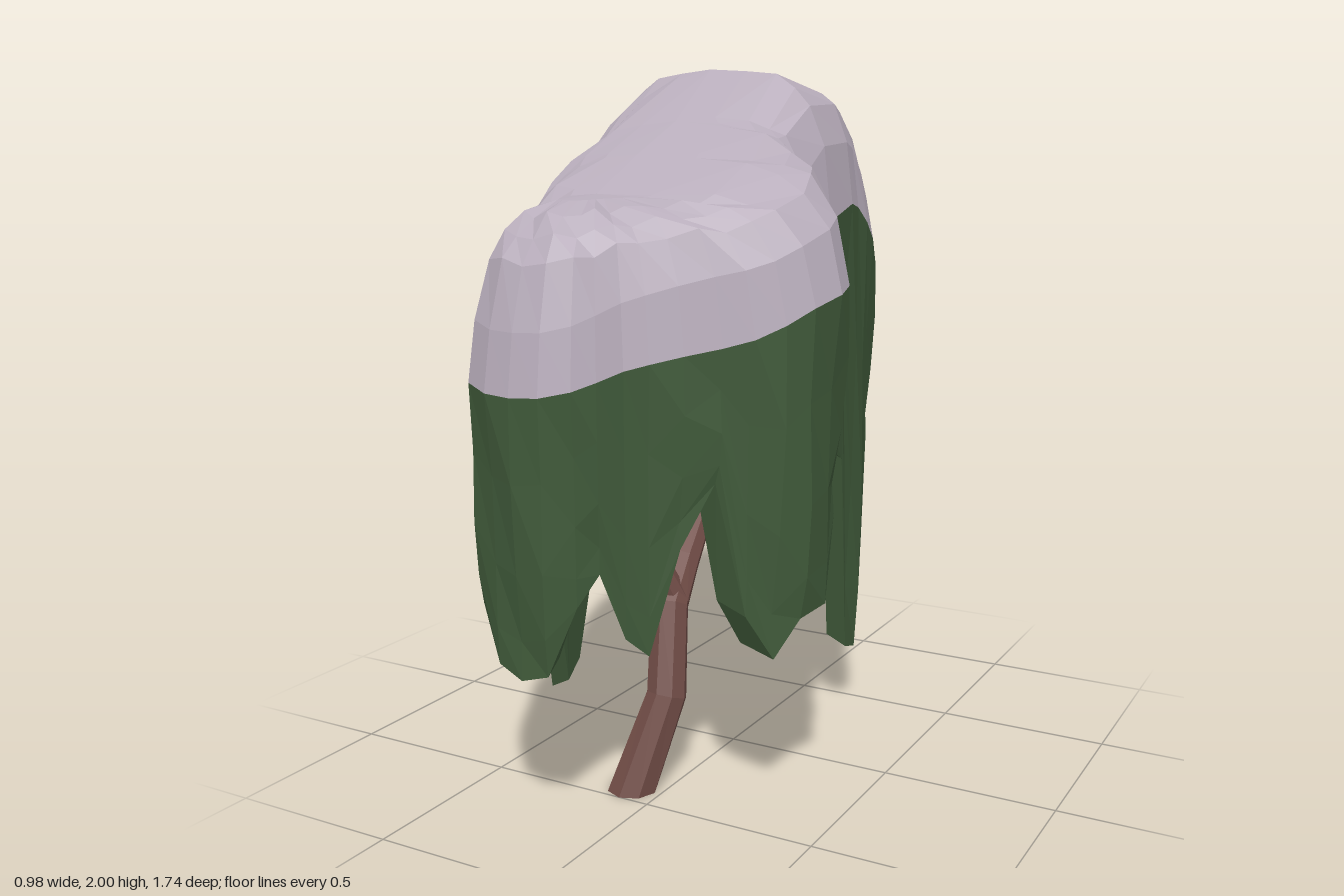
import * as THREE from 'three';

const V = (x, y, z) => new THREE.Vector3(x, y, z);
const { lerp, clamp } = THREE.MathUtils;

// canopy outline, clockwise from above: x, z, height of the hanging tip
const OUTLINE = [
  [0, -.84, .85], [.1, -.75, .85], [.18, -.62, .87], [.22, -.5, .55], [.23, -.43, .2], [.23, -.36, .22],
  [.25, -.27, .85], [.26, -.1, .93], [.25, .02, .93], [.33, .1, .93], [.42, .17, .93], [.47, .24, .82],
  [.49, .33, .6], [.46, .42, .58], [.41, .48, .48], [.35, .53, .6], [.28, .57, .95], [.2, .62, .78],
  [.13, .67, .5], [.08, .71, .55], [.04, .77, .73], [0, .82, .65], [-.07, .86, .47], [-.15, .87, .45],
  [-.23, .86, .48], [-.31, .82, .62], [-.35, .65, .78], [-.38, .53, .75], [-.43, .4, .5], [-.46, .32, .2],
  [-.48, .24, .24], [-.49, .12, .6], [-.49, 0, .72], [-.48, -.15, .7], [-.47, -.27, .35], [-.46, -.34, .18],
  [-.46, -.42, .4], [-.45, -.52, .6], [-.42, -.66, .87], [-.37, -.77, .8], [-.31, -.84, .52],
  [-.24, -.87, .52], [-.13, -.87, .85],
];
// height along z of the snow's lower edge and of its ridge
const EDGE = [[-.87, 1.17], [-.7, 1.35], [-.5, 1.5], [-.37, 1.6], [-.18, 1.63], [0, 1.5], [.11, 1.41],
  [.25, 1.43], [.4, 1.4], [.55, 1.3], [.87, 1.18]];
const RIDGE = [[-.35, 1.97], [-.1, 2], [0, 1.92], [.1, 1.85], [.3, 1.76], [.5, 1.66]];
const NODES = [-.35, -.1, .1, .3, .5];

function sample(table, z) {
  let i = 0;
  while (i < table.length - 2 && z > table[i + 1][0]) i++;
  const [a, b] = [table[i], table[i + 1]];
  return lerp(a[1], b[1], clamp((z - a[0]) / (b[0] - a[0]), 0, 1));
}

// faceted skin over closed rings, listed from top to bottom
function loft(rings) {
  const pos = [];
  const tri = (a, b, c) => {
    const n = b.clone().sub(a).cross(c.clone().sub(a));
    if (n.length() > 1e-8) for (const p of [a, b, c]) pos.push(p.x, p.y, p.z);
  };
  for (let r = 0; r < rings.length - 1; r++) {
    const U = rings[r], L = rings[r + 1], n = U.length;
    for (let i = 0; i < n; i++) {
      const j = (i + 1) % n;
      tri(U[i], U[j], L[i]);
      tri(U[j], L[j], L[i]);
    }
  }
  const g = new THREE.BufferGeometry();
  g.setAttribute('position', new THREE.Float32BufferAttribute(pos, 3));
  g.computeVertexNormals();
  return g;
}

// point moved from the outline towards the spine of the crown
const inset = ([x, z], k, y, spineZ = clamp(z, -.4, .5)) => V(lerp(x, -.13, k), y, lerp(z, spineZ, k));

// tapered limb along points [x, y, z, radius], from base to tip
function limb(points, flatBase) {
  const centres = points.map(p => V(p[0], p[1], p[2]));
  const last = points.length - 1;
  const rings = centres.map((c, i) => {
    const d = centres[Math.min(i + 1, last)].clone().sub(centres[Math.max(i - 1, 0)]).normalize();
    if (i === 0 && flatBase) d.set(0, 1, 0);
    const u = V(1, 0, 0).addScaledVector(d, -d.x).normalize();
    const v = u.clone().cross(d);
    return Array.from({ length: 8 }, (_, s) => {
      const a = s * Math.PI / 4, r = points[i][3];
      return c.clone().addScaledVector(u, Math.cos(a) * r).addScaledVector(v, Math.sin(a) * r);
    });
  });
  const cap = c => Array(8).fill(c);
  return loft([cap(centres[last]), ...rings.reverse(), cap(centres[0])]);
}

export function createModel() {
  const snow = new THREE.MeshStandardMaterial({ color: 0xb8adbb });
  const leaves = new THREE.MeshStandardMaterial({ color: 0x405a3a });
  const bark = new THREE.MeshStandardMaterial({ color: 0x704c46 });
  snow.name = 'snow';
  leaves.name = 'leaves';
  bark.name = 'bark';

  const tree = new THREE.Group();
  tree.name = 'snowyWeepingTree';
  const add = (name, geometry, material) => {
    const m = new THREE.Mesh(geometry, material);
    m.name = name;
    tree.add(m);
  };

  // snow cap: steep sides rounding over to shared ridge nodes, softer at the back
  const profile = [[1, 1], [.7, .98], [.45, .93], [.3, .85], [.18, .75], [.06, .45], [0, 0]];
  add('snowCap', loft(profile.map(([k, f], r) => OUTLINE.map((p, i) => {
    const z = p[1], e = sample(EDGE, z);
    const node = NODES.reduce((a, b) => (Math.abs(b - z) < Math.abs(a - z) ? b : a));
    const top = lerp(sample(RIDGE, z), sample(RIDGE, node), k);
    const soft = .9 + 2.5 * clamp((-z - .35) / .5, 0, 1) + .5 * clamp((z - .55) / .3, 0, 1);
    const bump = r > 1 && r < 5 ? .01 * Math.sin(i * 2.4 + r * 1.7) : 0;
    return inset(p, k, e + (top - e) * Math.pow(f, soft) + bump, node);
  }))), snow);

  // hanging foliage: outer curtain, tips, inner curtain and ceiling
  const curtain = [[0, 0], [0, .3], [.01, .62], [.03, .86], [.06, 1]];
  const outer = curtain.map(([k, t], r) => OUTLINE.map((p, i) => {
    const wave = r > 0 && r < 4 ? .02 + .025 * Math.sin(i * 2.1 + r) : 0;
    return inset(p, k + wave, lerp(sample(EDGE, p[1]), p[2], t));
  }));
  const inner = [
    OUTLINE.map(p => inset(p, .24, p[2] + .03)),
    OUTLINE.map(p => inset(p, .32, Math.max(p[2] + .05, .98))),
    OUTLINE.map(p => inset(p, 1, 1.06)),
  ];
  add('hangingFoliage', loft([...outer, ...inner]), leaves);

  // trunk and branches
  add('trunk', limb([[-.09, 0, .43, .072], [-.03, .26, .34, .058], [-.06, .5, .27, .055],
    [-.08, .6, .16, .05], [-.1, .73, .01, .042]], true), bark);
  add('frontBranch', limb([[-.05, .5, .25, .045], [-.1, .65, .3, .035], [-.2, 1.05, .38, .03]]), bark);
  add('upperBranch', limb([[-.09, .68, .04, .045], [-.07, .8, .0, .036], [-.03, 1.08, -.04, .03]]), bark);
  add('backBranch', limb([[-.1, .72, .04, .042], [-.11, .75, -.08, .034], [-.1, .83, -.28, .03],
    [-.09, .99, -.6, .024]]), bark);

  return tree;
}
